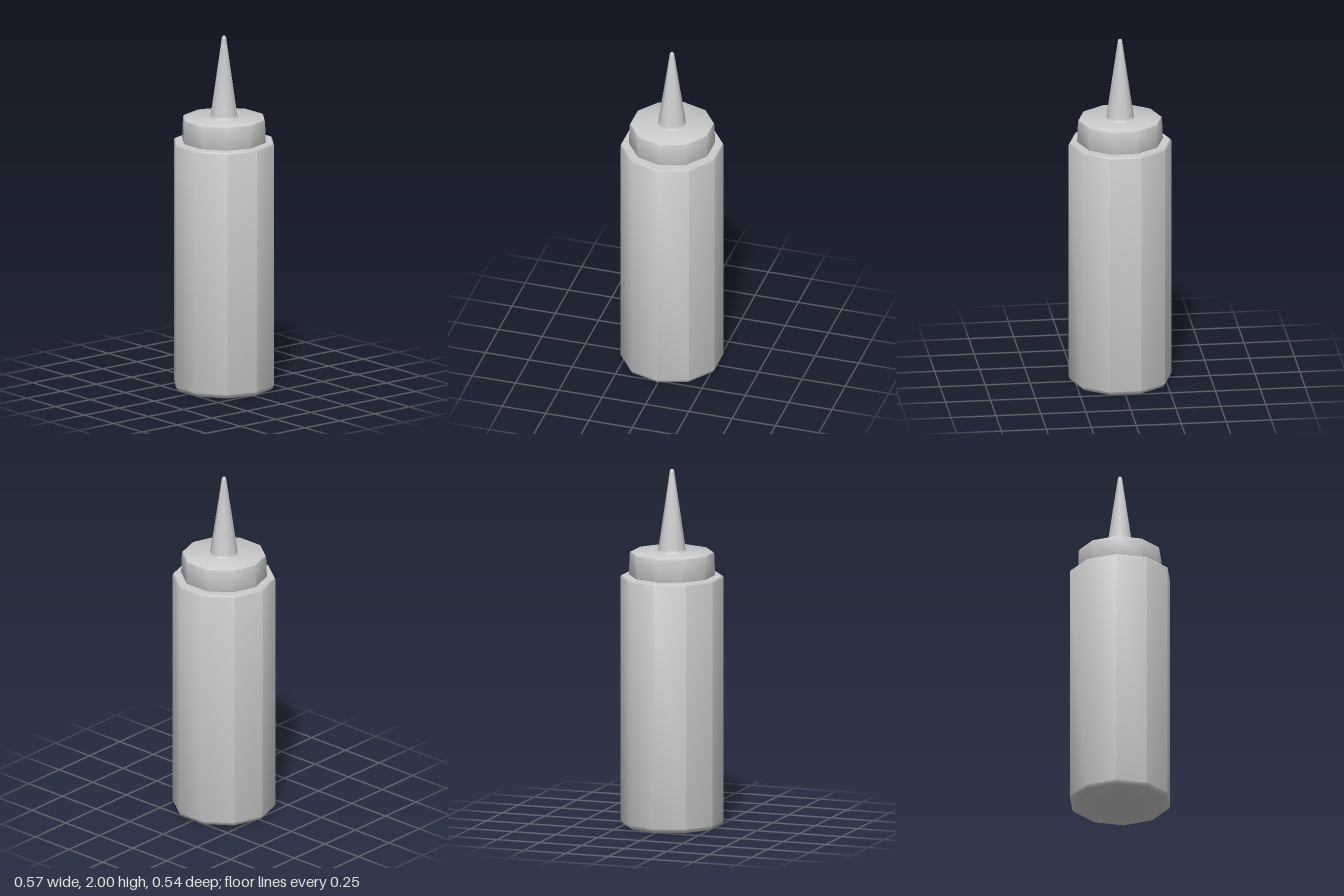
import * as THREE from 'three';
import { toCreasedNormals } from 'three/addons/utils/BufferGeometryUtils.js';

const SIDES = 10;
const material = new THREE.MeshStandardMaterial({ color: 0xcccccc });

// Ten-sided turned part from [radius, height] pairs, bottom to top, a corner on the x axis
function turned(name, profile) {
  const points = profile.map(([r, y]) => new THREE.Vector2(r, y));
  const geometry = new THREE.LatheGeometry(points, SIDES).rotateY(Math.PI / 2);
  const mesh = new THREE.Mesh(toCreasedNormals(geometry, 0.75), material);
  mesh.name = name;
  return mesh;
}

export function createModel() {
  const model = new THREE.Group();
  model.name = 'squeezeBottle';

  // Body with bevelled foot, flat shoulder and short neck under the cap
  model.add(turned('body', [
    [0, 0], [0.262, 0], [0.275, 0.008], [0.285, 0.025],
    [0.285, 1.392], [0.28, 1.4], [0.215, 1.4], [0.215, 1.42], [0, 1.42],
  ]));

  // Screw cap, slightly tapered with a softened top rim
  model.add(turned('cap', [
    [0, 1.404], [0.236, 1.404], [0.238, 1.408], [0.234, 1.522],
    [0.231, 1.532], [0.224, 1.536], [0, 1.536],
  ]));

  // Tapered nozzle with flared root and rounded tip
  model.add(turned('nozzle', [
    [0.084, 1.534], [0.078, 1.54], [0.075, 1.555], [0.0135, 1.982],
    [0.0115, 1.992], [0.007, 1.998], [0, 2],
  ]));

  return model;
}
